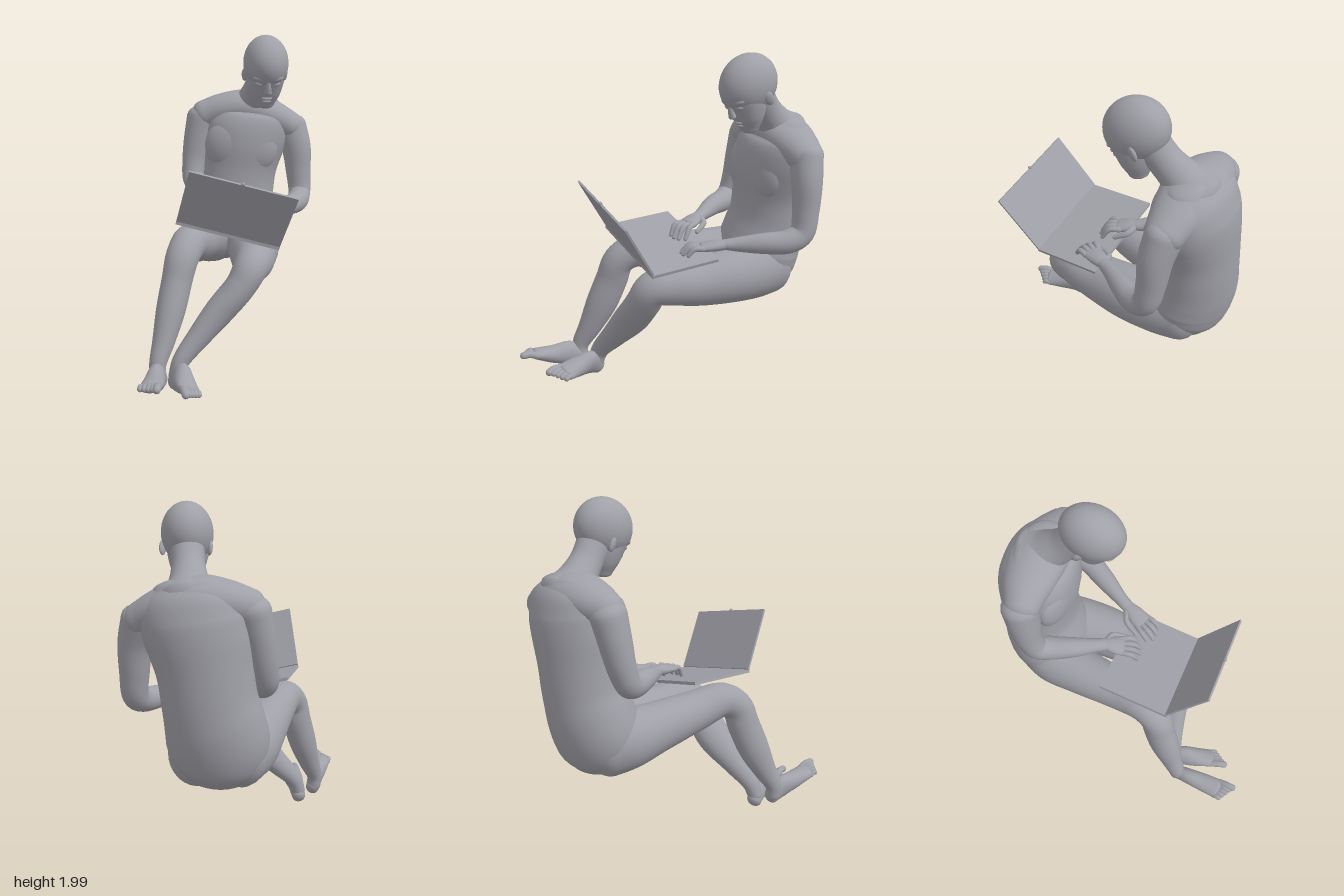
import * as THREE from 'three';

const V = (x, y, z) => new THREE.Vector3(x, y, z);
const skin = new THREE.MeshStandardMaterial({ color: 0xa0a0a8 });
skin.name = 'plain grey';

// Smooth body swept through stations [x, y, z, halfWidth, halfDepth], with rounded ends.
// "side" is the direction in which halfWidth is measured.
function sweep(name, stations, side, cap = 0.8, seg = 28, steps = 6) {
  const path = new THREE.CatmullRomCurve3(stations.map(s => V(s[0], s[1], s[2])));
  const size = new THREE.CatmullRomCurve3(stations.map((s, i) => V(s[3], s[4] ?? s[3], i * 0.1)));
  const n = (stations.length - 1) * steps;
  const rings = [];
  const add = (t, push, scale) => {
    const T = path.getTangent(t), r = size.getPoint(t);
    const p = path.getPoint(t).addScaledVector(T, push * Math.min(r.x, r.y) * cap);
    const S = side.clone().addScaledVector(T, -side.dot(T)).normalize();
    rings.push({ p, S, D: T.clone().cross(S), w: r.x * scale, d: r.y * scale });
  };
  const k = 6;
  for (let i = 0; i < k; i++) {
    const a = (i / k) * Math.PI / 2;
    add(0, -Math.cos(a), Math.max(Math.sin(a), 0.002));
  }
  for (let i = 0; i <= n; i++) add(i / n, 0, 1);
  for (let i = k - 1; i >= 0; i--) {
    const a = (i / k) * Math.PI / 2;
    add(1, Math.cos(a), Math.max(Math.sin(a), 0.002));
  }
  const pos = [], idx = [];
  rings.forEach((r, i) => {
    for (let j = 0; j < seg; j++) {
      const a = (j / seg) * Math.PI * 2;
      const q = r.p.clone().addScaledVector(r.S, r.w * Math.cos(a)).addScaledVector(r.D, r.d * Math.sin(a));
      pos.push(q.x, q.y, q.z);
      if (i < rings.length - 1) {
        const b = i * seg + (j + 1) % seg, c = i * seg + j;
        idx.push(c, b, b + seg, c, b + seg, c + seg);
      }
    }
  });
  const g = new THREE.BufferGeometry();
  g.setAttribute('position', new THREE.Float32BufferAttribute(pos, 3));
  g.setIndex(idx);
  g.computeVertexNormals();
  const m = new THREE.Mesh(g, skin);
  m.name = name;
  return m;
}

function blob(name, p, r, yaw = 0) {
  const m = new THREE.Mesh(new THREE.SphereGeometry(1, 32, 24), skin);
  m.position.set(...p);
  m.scale.set(...r);
  m.rotation.y = yaw;
  m.name = name;
  return m;
}

// Flat slab spanned by two edge vectors from a corner
function slab(name, o, u, v, t) {
  const n = v.clone().cross(u).normalize().multiplyScalar(t);
  const g = new THREE.BoxGeometry(1, 1, 1).translate(0.5, 0.5, 0.5);
  g.applyMatrix4(new THREE.Matrix4().makeBasis(u, n, v).setPosition(o));
  g.computeVertexNormals();
  const m = new THREE.Mesh(g, skin);
  m.name = name;
  return m;
}

// Foot with five toes; inner is +1 when the big toe lies towards +side
function foot(name, st, side, inner) {
  const g = new THREE.Group();
  g.name = name;
  g.add(sweep('footBody', st, side, 0.8));
  const end = V(...st[3].slice(0, 3)), dir = end.clone().sub(V(...st[2].slice(0, 3))).normalize();
  for (let i = 0; i < 5; i++) {
    const r = i === 0 ? 0.022 : 0.016, len = 0.09 - 0.013 * i;
    const a = end.clone().addScaledVector(side, inner * (0.045 - 0.024 * i));
    const b = a.clone().addScaledVector(dir, len * 0.6), c = a.clone().addScaledVector(dir, len);
    g.add(sweep('toe', [[a.x, a.y, a.z, r], [b.x, b.y + 0.008, b.z, r], [c.x, c.y, c.z, r]], side, 1, 12, 4));
  }
  return g;
}

// Hand from wrist to knuckles with four bent fingers and a thumb
function hand(name, wrist, knuckle, side, inner, drop) {
  const g = new THREE.Group();
  g.name = name;
  const dir = knuckle.clone().sub(wrist).normalize();
  const mid = wrist.clone().lerp(knuckle, 0.5);
  const at = (p, w, d) => [p.x, p.y, p.z, w, d];
  g.add(sweep('palm', [at(wrist, 0.037, 0.03), at(mid, 0.053, 0.031), at(knuckle, 0.06, 0.024)], side, 0.8));
  for (let i = 0; i < 4; i++) {
    const off = inner * (0.046 - 0.03 * i), len = [0.11, 0.122, 0.115, 0.09][i];
    const a = knuckle.clone().addScaledVector(side, off);
    const b = a.clone().addScaledVector(dir, len * 0.55).addScaledVector(side, off * 0.2);
    const c = a.clone().addScaledVector(dir, len * 0.95).addScaledVector(side, off * 0.25);
    b.y += 0.006;
    c.y -= drop;
    g.add(sweep('finger', [at(a, 0.017), at(b, 0.016), at(c, 0.012)], side, 1, 12, 5));
  }
  const t0 = wrist.clone().lerp(knuckle, 0.2).addScaledVector(side, inner * 0.03);
  const t1 = mid.clone().addScaledVector(side, inner * 0.07);
  const t2 = knuckle.clone().addScaledVector(side, inner * 0.08).addScaledVector(dir, 0.025);
  t1.y -= 0.01;
  t2.y -= drop * 0.7;
  g.add(sweep('thumb', [at(t0, 0.022), at(t1, 0.018), at(t2, 0.013)], dir.clone().cross(V(0, 1, 0)), 1, 12, 5));
  return g;
}

function head() {
  const g = new THREE.Group(), X = V(1, 0, 0);
  g.name = 'head';
  g.add(blob('cranium', [0, 0, 0], [0.139, 0.166, 0.185]));
  g.add(sweep('face', [[0, 0.01, 0.042, 0.122, 0.132], [0, -0.09, 0.058, 0.112, 0.118],
    [0, -0.17, 0.083, 0.09, 0.09], [0, -0.23, 0.105, 0.056, 0.055]], X, 0.5));
  g.add(sweep('nose', [[0, -0.025, 0.16, 0.014], [0, -0.07, 0.175, 0.018], [0, -0.105, 0.182, 0.024, 0.02]], X, 0.6, 16));
  g.add(blob('upperLip', [0, -0.155, 0.161], [0.034, 0.01, 0.016]));
  g.add(blob('lowerLip', [0, -0.177, 0.158], [0.028, 0.01, 0.015]));
  for (const s of [-1, 1]) {
    g.add(blob('brow', [s * 0.052, -0.024, 0.15], [0.045, 0.018, 0.02], s * 0.4));
    g.add(blob('eye', [s * 0.052, -0.06, 0.151], [0.026, 0.014, 0.015], s * 0.4));
    g.add(blob('ear', [s * 0.127, -0.085, -0.005], [0.014, 0.042, 0.027], -s * 0.4));
  }
  g.position.set(0.435, 1.83, -0.045);
  g.rotation.set(0.5, -0.72, 0, 'YXZ');
  return g;
}

function laptop() {
  const g = new THREE.Group();
  g.name = 'laptop';
  const hinge = V(-0.40, 0.97, 0.03), across = V(0.405, -0.15, 0.415);
  g.add(slab('base', hinge, across, V(0.315, 0.03, -0.29), 0.018));
  g.add(slab('lid', hinge, across, V(-0.093, 0.31, 0.205), 0.012));
  g.add(blob('latch', [-0.29, 1.212, 0.435], [0.011, 0.011, 0.011]));
  return g;
}

export function createModel() {
  const g = new THREE.Group();
  g.name = 'seatedFigureWithLaptop';
  const L = V(1, 0, 1).normalize();

  // Torso, shoulders and neck
  g.add(sweep('torso', [[0.45, 0.63, -0.34, 0.23, 0.2], [0.46, 0.69, -0.36, 0.265, 0.232],
    [0.47, 0.77, -0.375, 0.278, 0.242], [0.495, 0.87, -0.385, 0.27, 0.237], [0.525, 1.0, -0.383, 0.255, 0.222],
    [0.54, 1.15, -0.372, 0.256, 0.22], [0.555, 1.3, -0.35, 0.278, 0.225], [0.575, 1.42, -0.33, 0.288, 0.215],
    [0.582, 1.51, -0.322, 0.27, 0.185], [0.58, 1.58, -0.31, 0.2, 0.135]], L, 0.45, 40));
  g.add(sweep('shoulders', [[0.36, 1.485, -0.51, 0.105, 0.1], [0.46, 1.52, -0.43, 0.145, 0.112],
    [0.575, 1.532, -0.32, 0.165, 0.12], [0.69, 1.475, -0.205, 0.145, 0.107], [0.77, 1.41, -0.115, 0.11, 0.095]],
    V(-1, 0, 1).normalize()));
  g.add(sweep('neck', [[0.585, 1.52, -0.3, 0.17, 0.17], [0.555, 1.59, -0.25, 0.112, 0.112],
    [0.515, 1.67, -0.18, 0.09, 0.094], [0.475, 1.77, -0.105, 0.092, 0.1]], L));
  g.add(blob('leftChest', [0.51, 1.29, -0.195], [0.15, 0.165, 0.072], -0.62));
  g.add(blob('rightChest', [0.385, 1.3, -0.32], [0.15, 0.165, 0.072], -0.95));
  g.add(head());

  // Legs, each one sweep from buttock to ankle
  g.add(sweep('leftLeg', [[0.55, 0.695, -0.3, 0.162, 0.188], [0.46, 0.685, -0.19, 0.17, 0.183],
    [0.34, 0.682, -0.05, 0.16, 0.167], [0.19, 0.678, 0.08, 0.142, 0.147],
    [0.055, 0.69, 0.205, 0.12, 0.125], [-0.045, 0.675, 0.268, 0.102, 0.105], [-0.105, 0.58, 0.25, 0.09, 0.108],
    [-0.195, 0.45, 0.185, 0.086, 0.11], [-0.325, 0.30, 0.13, 0.067, 0.08], [-0.435, 0.17, 0.092, 0.05, 0.057],
    [-0.462, 0.09, 0.085, 0.046]], V(0.6, 0, 0.8)));
  g.add(sweep('rightLeg', [[0.395, 0.695, -0.455, 0.162, 0.188], [0.29, 0.71, -0.405, 0.167, 0.178], [0.14, 0.735, -0.305, 0.146, 0.15],
    [-0.08, 0.77, -0.14, 0.122], [-0.24, 0.80, -0.04, 0.104], [-0.33, 0.74, 0, 0.096], [-0.375, 0.62, 0.005, 0.088, 0.1],
    [-0.44, 0.46, 0.02, 0.083, 0.098], [-0.515, 0.3, 0.04, 0.064, 0.073], [-0.575, 0.18, 0.055, 0.048, 0.053],
    [-0.575, 0.11, 0.06, 0.045]], V(0.6, 0, 0.8)));
  g.add(foot('leftFoot', [[-0.46, 0.058, 0.075, 0.044, 0.052], [-0.485, 0.105, 0.14, 0.05, 0.082],
    [-0.535, 0.11, 0.225, 0.062, 0.062], [-0.58, 0.11, 0.31, 0.066, 0.034]], V(0.85, -0.38, 0.38).normalize(), -1));
  g.add(foot('rightFoot', [[-0.565, 0.097, 0.06, 0.043, 0.052], [-0.625, 0.138, 0.105, 0.049, 0.075],
    [-0.71, 0.155, 0.18, 0.059, 0.056], [-0.795, 0.178, 0.25, 0.064, 0.033]], V(0.62, 0.12, 0.78).normalize(), 1));

  // Arms and hands
  g.add(sweep('leftArm', [[0.77, 1.41, -0.12, 0.11, 0.097], [0.783, 1.28, -0.075, 0.097, 0.09], [0.785, 1.12, -0.055, 0.082, 0.079],
    [0.77, 0.985, -0.03, 0.072], [0.70, 0.94, 0.01, 0.07], [0.56, 0.93, 0.05, 0.061], [0.42, 0.925, 0.085, 0.043],
    [0.35, 0.925, 0.105, 0.039, 0.031]], V(0.36, 0, 0.93)));
  g.add(sweep('rightArm', [[0.355, 1.47, -0.525, 0.1, 0.108], [0.32, 1.32, -0.535, 0.09, 0.095], [0.29, 1.18, -0.535, 0.08],
    [0.26, 1.08, -0.51, 0.072], [0.235, 1.05, -0.44, 0.071], [0.19, 1.04, -0.32, 0.061], [0.155, 1.02, -0.19, 0.043],
    [0.14, 1.015, -0.13, 0.039, 0.031]], V(0.96, 0, 0.27)));
  g.add(hand('leftHand', V(0.35, 0.925, 0.105), V(0.22, 0.915, 0.15), V(0.35, 0, 0.93).normalize(), -1, 0.028));
  g.add(hand('rightHand', V(0.14, 1.015, -0.13), V(0.095, 0.995, -0.04), V(0.95, 0, 0.3).normalize(), 1, 0.045));

  g.add(laptop());
  return g;
}
